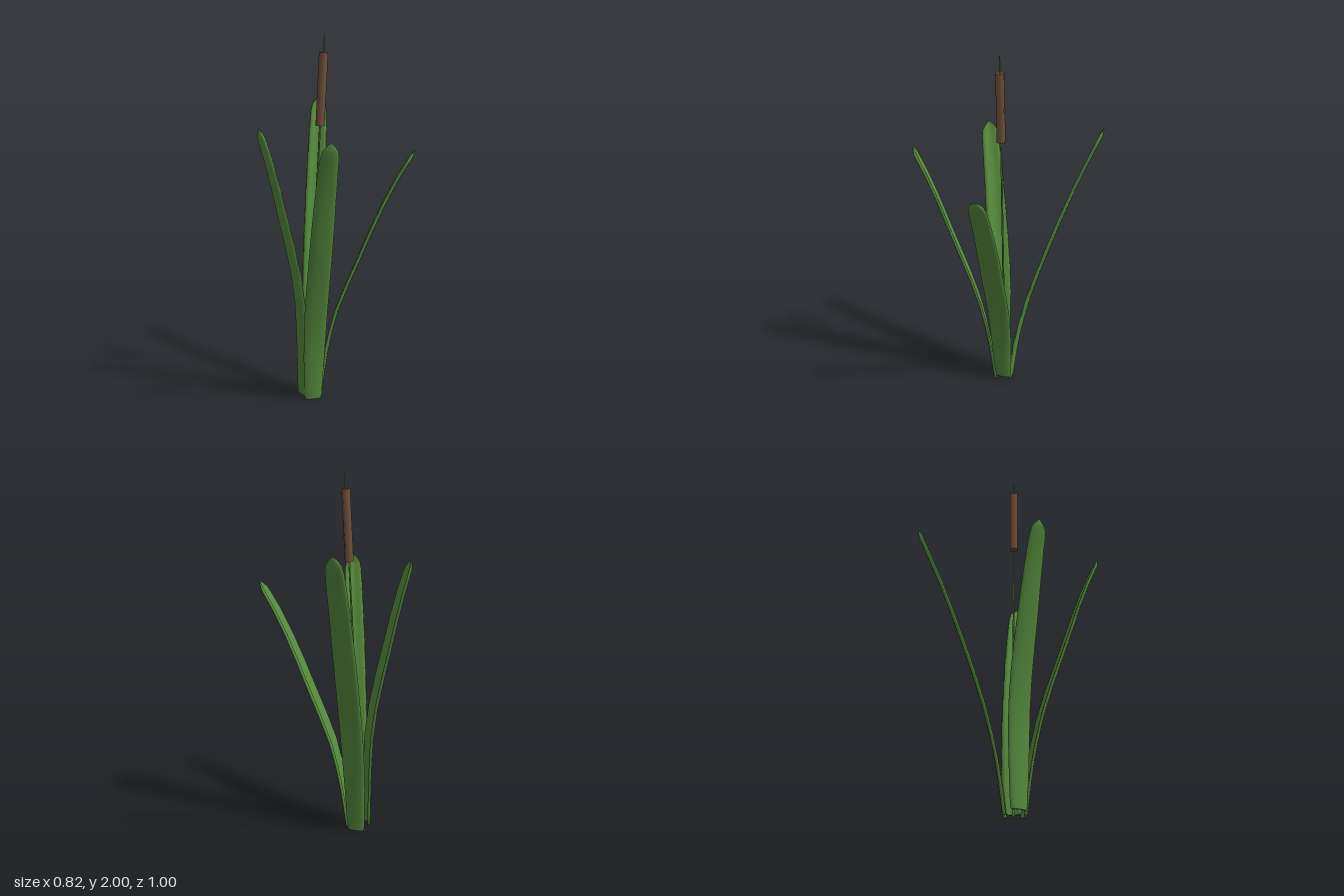
import * as THREE from 'three';

const green = new THREE.MeshStandardMaterial({ color: 0x568c3e });
green.name = 'leafGreen';
const brown = new THREE.MeshStandardMaterial({ color: 0x70513c });
brown.name = 'seedHeadBrown';

// Leaf cross-section: [side -1..1, offset toward the inner face], a grooved channel with a rounded back
const SECTION = [
  [1, -0.002], [0.88, 0.007], [0.65, 0.007], [0.35, -0.001], [0, -0.005],
  [-0.35, -0.001], [-0.65, 0.007], [-0.88, 0.007], [-1, -0.002],
  [-0.75, -0.009], [-0.4, -0.012], [0, -0.013], [0.4, -0.012], [0.75, -0.009],
];

// Stations along a leaf: [fraction of length, half width]
const STATIONS = [
  [0, 0.045], [0.015, 0.05], [0.08, 0.053], [0.16, 0.058], [0.24, 0.061], [0.34, 0.063],
  [0.45, 0.063], [0.56, 0.062], [0.67, 0.06], [0.78, 0.056], [0.88, 0.052], [0.945, 0.048],
  [0.97, 0.041], [0.985, 0.026], [1, 0.003],
];

// Sweeps the section along a spine of [outward, height] points, leaning toward an angle around y
function makeLeaf(name, x, z, angle, points) {
  const out = new THREE.Vector3(Math.cos(angle), 0, Math.sin(angle));
  const side = new THREE.Vector3(out.z, 0, -out.x);
  const spine = new THREE.CatmullRomCurve3(
    points.map(([r, y]) => new THREE.Vector3(x + out.x * r, y, z + out.z * r)));
  const n = SECTION.length;
  const positions = [];
  const index = [];

  const addRing = ([t, half]) => {
    const centre = spine.getPointAt(t);
    const inner = spine.getTangentAt(t).cross(side);
    const depth = Math.min(1, half / 0.04);
    for (const [u, d] of SECTION) {
      const p = centre.clone().addScaledVector(side, u * half).addScaledVector(inner, d * depth);
      positions.push(p.x, p.y, p.z);
    }
  };
  STATIONS.forEach(addRing);
  for (let i = 0; i < STATIONS.length - 1; i++) {
    for (let j = 0; j < n; j++) {
      const k = (j + 1) % n;
      const a = i * n + j, b = i * n + k, c = b + n, d = a + n;
      index.push(a, b, d, b, c, d);
    }
  }

  // Flat cut at the base: bridge the inner and outer outlines
  const start = STATIONS.length * n;
  addRing(STATIONS[0]);
  const half = SECTION.findIndex(([u]) => u === -1);
  const back = [0, 13, 13, 12, 11, 10, 9, 9, 8];
  for (let j = 0; j < half; j++) {
    const a = start + j, b = start + j + 1;
    const c = start + back[j], d = start + back[j + 1];
    if (a !== c) index.push(a, c, b);
    if (b !== d && c !== d) index.push(b, c, d);
  }

  const geometry = new THREE.BufferGeometry();
  geometry.setAttribute('position', new THREE.Float32BufferAttribute(positions, 3));
  geometry.setIndex(index);
  geometry.computeVertexNormals();
  const mesh = new THREE.Mesh(geometry, green);
  mesh.name = name;
  return mesh;
}

// Six-sided rod between two heights on the leaning stalk line
function makeRod(name, y0, y1, r0, r1, material) {
  const at = (y) => new THREE.Vector3(-0.178 + 0.054 * y, y, 0.032);
  const a = at(y0), b = at(y1);
  const geometry = new THREE.CylinderGeometry(r1, r0, a.distanceTo(b), 6, 1, false, Math.PI / 2);
  const mesh = new THREE.Mesh(geometry, material);
  mesh.position.copy(a).add(b).multiplyScalar(0.5);
  mesh.quaternion.setFromUnitVectors(new THREE.Vector3(0, 1, 0), b.sub(a).normalize());
  mesh.name = name;
  return mesh;
}

export function createModel() {
  const model = new THREE.Group();
  model.name = 'reedPlant';
  const deg = Math.PI / 180;

  model.add(
    // Four leaves fanning out around the stalk
    makeLeaf('leftLeaf', -0.105, 0.022, 0,
      [[0, 0.03], [0.04, 0.29], [0.1, 0.53], [0.2, 0.77], [0.3, 1.01], [0.4, 1.22], [0.51, 1.405]]),
    makeLeaf('backLeaf', -0.155, -0.01, -90 * deg,
      [[0, 0.01], [0.035, 0.27], [0.1, 0.56], [0.195, 0.865], [0.33, 1.25], [0.41, 1.45], [0.49, 1.64]]),
    makeLeaf('frontLeaf', -0.137, 0.08, 71 * deg,
      [[0, 0.01], [0.035, 0.27], [0.095, 0.55], [0.23, 0.95], [0.345, 1.28], [0.44, 1.5]]),
    makeLeaf('rightLeaf', -0.2, 0.06, 147 * deg,
      [[0, 0.03], [0, 0.3], [0.012, 0.6], [0.055, 0.84], [0.11, 1.07], [0.165, 1.3], [0.235, 1.53]]),
    // Stalk, brown seed head and the spike above it
    makeRod('stalk', 0, 1.56, 0.006, 0.005, green),
    makeRod('seedHead', 1.53, 1.91, 0.024, 0.024, brown),
    makeRod('spike', 1.9, 2, 0.006, 0.002, green),
  );
  return model;
}
